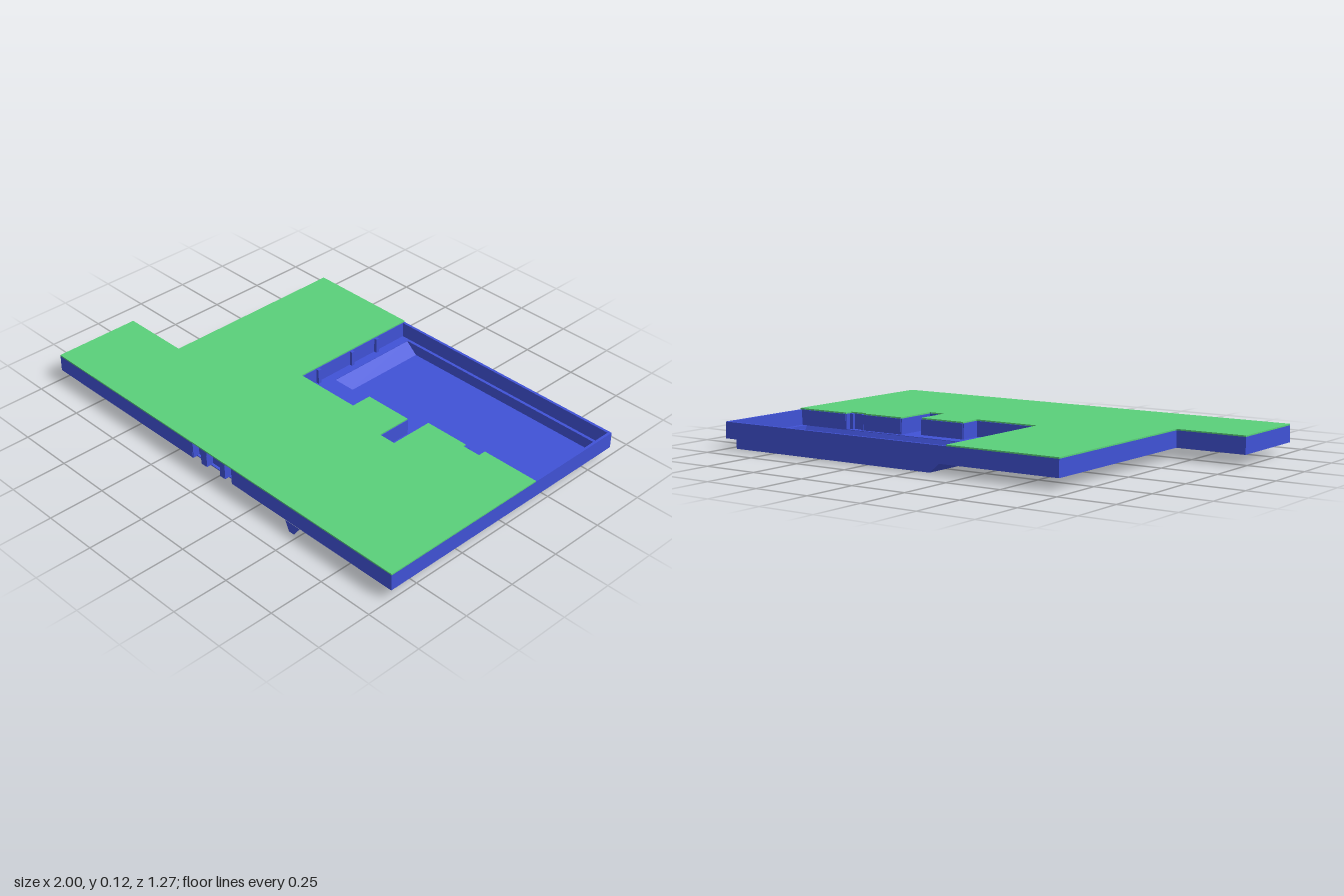
import * as THREE from 'three';

const BASE = 0.045, TOP = 0.117, ROOF = 0.123;
const T = 0.022; // wall thickness

// Plan outlines as [x, z]
const OUTER = [[-1, 0.635], [1, 0.635], [1, -0.636], [-0.685, -0.636], [-0.685, 0.235], [-1, 0.235]];
// Edge of the roof around the open court
const COURT = [[1, -0.165], [0.735, -0.165], [0.735, -0.13], [0.65, -0.13], [0.65, -0.145],
  [0.445, -0.145], [0.445, 0.055], [0.365, 0.055], [0.365, -0.105], [0.145, -0.105],
  [0.145, -0.01], [-0.165, -0.01], [-0.165, -0.636]];

// Inner partitions: [x0, z0, x1, z1], none of them touching
const PARTITIONS = [
  // front rooms
  [-0.78, 0.44, -0.78, 0.59], [-0.56, 0.44, -0.56, 0.59], [-0.36, 0.44, -0.36, 0.59],
  [-0.17, 0.44, -0.17, 0.59], [0.18, 0.44, 0.18, 0.59], [0.38, 0.44, 0.38, 0.59],
  [0.58, 0.44, 0.58, 0.59], [0.8, 0.44, 0.8, 0.59],
  [-0.94, 0.4, -0.62, 0.4], [-0.54, 0.4, -0.22, 0.4], [0.14, 0.4, 0.46, 0.4], [0.55, 0.4, 0.93, 0.4],
  // middle rooms
  [0.27, -0.06, 0.27, 0.2], [0.52, -0.08, 0.52, 0.2], [0.74, -0.08, 0.74, 0.2],
  [0.05, 0.05, 0.05, 0.2], [-0.14, 0.05, -0.14, 0.2],
  [0.56, 0.24, 0.92, 0.24], [0.1, 0.24, 0.44, 0.24], [-0.32, 0.24, 0.02, 0.24],
  // side wing
  [-0.64, 0.2, -0.44, 0.2], [-0.64, -0.05, -0.46, -0.05], [-0.64, -0.3, -0.4, -0.3],
  [-0.36, -0.6, -0.36, -0.34], [-0.36, -0.24, -0.36, 0.14], [-0.32, -0.14, -0.2, -0.14],
];

// Extrudes a plan outline between two heights
function slab(points, y0, y1, holes = []) {
  const toV = ([x, z]) => new THREE.Vector2(x, -z);
  const shape = new THREE.Shape(points.map(toV));
  shape.holes = holes.map((h) => new THREE.Path(h.map(toV)));
  const g = new THREE.ExtrudeGeometry(shape, { depth: y1 - y0, bevelEnabled: false });
  return g.rotateX(-Math.PI / 2).translate(0, y0, 0);
}

const rect = (x0, z0, x1, z1) => [[x0, z0], [x1, z0], [x1, z1], [x0, z1]];

// Hollow wall, open underneath
function hollowWall(x0, z0, x1, z1, y0 = BASE, y1 = TOP) {
  const g = new THREE.BoxGeometry(x1 - x0, y1 - y0, z1 - z0);
  g.setIndex(Array.from(g.index.array).filter((_, i) => i < 18 || i >= 24));
  return g.translate((x0 + x1) / 2, (y0 + y1) / 2, (z0 + z1) / 2);
}

export function createModel() {
  const model = new THREE.Group();
  const blue = new THREE.MeshStandardMaterial({ color: 0x4052d6, side: THREE.DoubleSide, flatShading: true });
  const green = new THREE.MeshStandardMaterial({ color: 0x5ad07a });
  const add = (name, geometry, material = blue, parent = model) => {
    const mesh = new THREE.Mesh(geometry, material);
    mesh.name = name;
    parent.add(mesh);
  };

  // Flat roof, leaving the court open
  const roofOutline = [[-1, 0.635], [1, 0.635], ...COURT, [-0.685, -0.636], [-0.685, 0.235], [-1, 0.235]];
  add('roof', slab(roofOutline, TOP, ROOF), green);

  // Floor with slots under the partitions and an opening for the basin
  const e = 0.02;
  const floorOutline = [[-1 + e, 0.635 - e], [1 - e, 0.635 - e], [1 - e, -0.636 + e],
    [-0.685 + e, -0.636 + e], [-0.685 + e, 0.235 + e], [-1 + e, 0.235 + e]];
  const spans = PARTITIONS.map(([x0, z0, x1, z1]) => (x0 === x1
    ? [x0 - T / 2, z0, x1 + T / 2, z1] : [x0, z0 - T / 2, x1, z1 + T / 2]));
  const poolRim = rect(-0.12, -0.61, 0.965, -0.165);
  add('floor', slab(floorOutline, BASE, BASE + 0.004, [poolRim, ...spans.map((s) => rect(...s))]));

  // Ledge closing the floor edge around the court
  add('courtLedge', slab([[-0.165, -0.636], [1, -0.636], [1, -0.165], [0.965, -0.165], [0.965, -0.61],
    [-0.12, -0.61], [-0.12, -0.165], [-0.165, -0.165]], BASE, BASE + 0.004));

  // Partitions
  const partitions = new THREE.Group();
  partitions.name = 'partitions';
  model.add(partitions);
  spans.forEach((s) => add('partition', hollowWall(...s), blue, partitions));

  // Outer walls, with three recessed bays in the front one
  const walls = new THREE.Group();
  walls.name = 'outerWalls';
  model.add(walls);
  const w = 0.012;
  const bays = [[-0.12, -0.065], [-0.035, 0.05], [0.075, 0.12]];
  let start = -1;
  [...bays, [1, 1]].forEach(([x0, x1]) => {
    add('frontWall', hollowWall(start, 0.635 - w, x0, 0.635), blue, walls);
    start = x1;
  });
  bays.forEach(([x0, x1]) => {
    add('bayBack', hollowWall(x0, 0.595, x1, 0.603), blue, walls);
    [x0, x1].forEach((x) => add('bayCheek', hollowWall(x - 0.003, 0.6, x + 0.003, 0.634), blue, walls));
  });
  add('leftWall', hollowWall(1 - w, -0.636, 1, 0.635), blue, walls);
  add('backWall', hollowWall(-0.685, -0.636, 1, -0.636 + w), blue, walls);
  add('wingWall', hollowWall(-0.685, -0.636, -0.685 + w, 0.235), blue, walls);
  add('wingStep', hollowWall(-1, 0.235, -0.685 + w, 0.235 + w), blue, walls);
  add('rightWall', hollowWall(-1, 0.235, -1 + w, 0.635), blue, walls);

  // Walls along the court edge
  const court = new THREE.Group();
  court.name = 'courtWalls';
  model.add(court);
  for (let i = 0; i < COURT.length - 1; i++) {
    const [ax, az] = COURT[i], [bx, bz] = COURT[i + 1], h = 0.004;
    add('courtWall', hollowWall(Math.min(ax, bx) - (ax === bx ? h : 0), Math.min(az, bz) - (az === bz ? h : 0),
      Math.max(ax, bx) + (ax === bx ? h : 0), Math.max(az, bz) + (az === bz ? h : 0), BASE + 0.004), blue, court);
  }
  // Posts standing against the court walls
  [[-0.155, -0.45], [-0.155, -0.3], [-0.155, -0.1], [0.66, -0.14], [0.72, -0.14]].forEach(([x, z]) =>
    add('courtPost', hollowWall(x - 0.008, z - 0.008, x + 0.008, z + 0.008, BASE + 0.004), blue, court));

  // Sunken basin, sloped on its right and front sides
  const ring = (pts, y) => pts.flatMap(([x, z]) => [x, y, z]);
  const basin = new THREE.BufferGeometry();
  basin.setAttribute('position', new THREE.Float32BufferAttribute(
    [...ring(poolRim, BASE + 0.002), ...ring(rect(-0.065, -0.61, 0.965, -0.19), 0)], 3));
  const index = [4, 6, 5, 4, 7, 6];
  for (let i = 0; i < 4; i++) {
    const j = (i + 1) % 4;
    index.push(i, i + 4, j, j, i + 4, j + 4);
  }
  basin.setIndex(index);
  const basinFlat = basin.toNonIndexed();
  basinFlat.computeVertexNormals();
  add('basin', basinFlat);

  // Tapered flat plates at the front entrance
  [[0.075, TOP], [0, BASE]].forEach(([y0, y1]) => {
    const plate = new THREE.Shape([[0.43, y1], [0.452, y0], [0.48, y0], [0.512, y1]]
      .map(([x, y]) => new THREE.Vector2(x, y)));
    add('entrancePlate', new THREE.ShapeGeometry(plate).translate(0, 0, 0.636));
  });

  return model;
}
